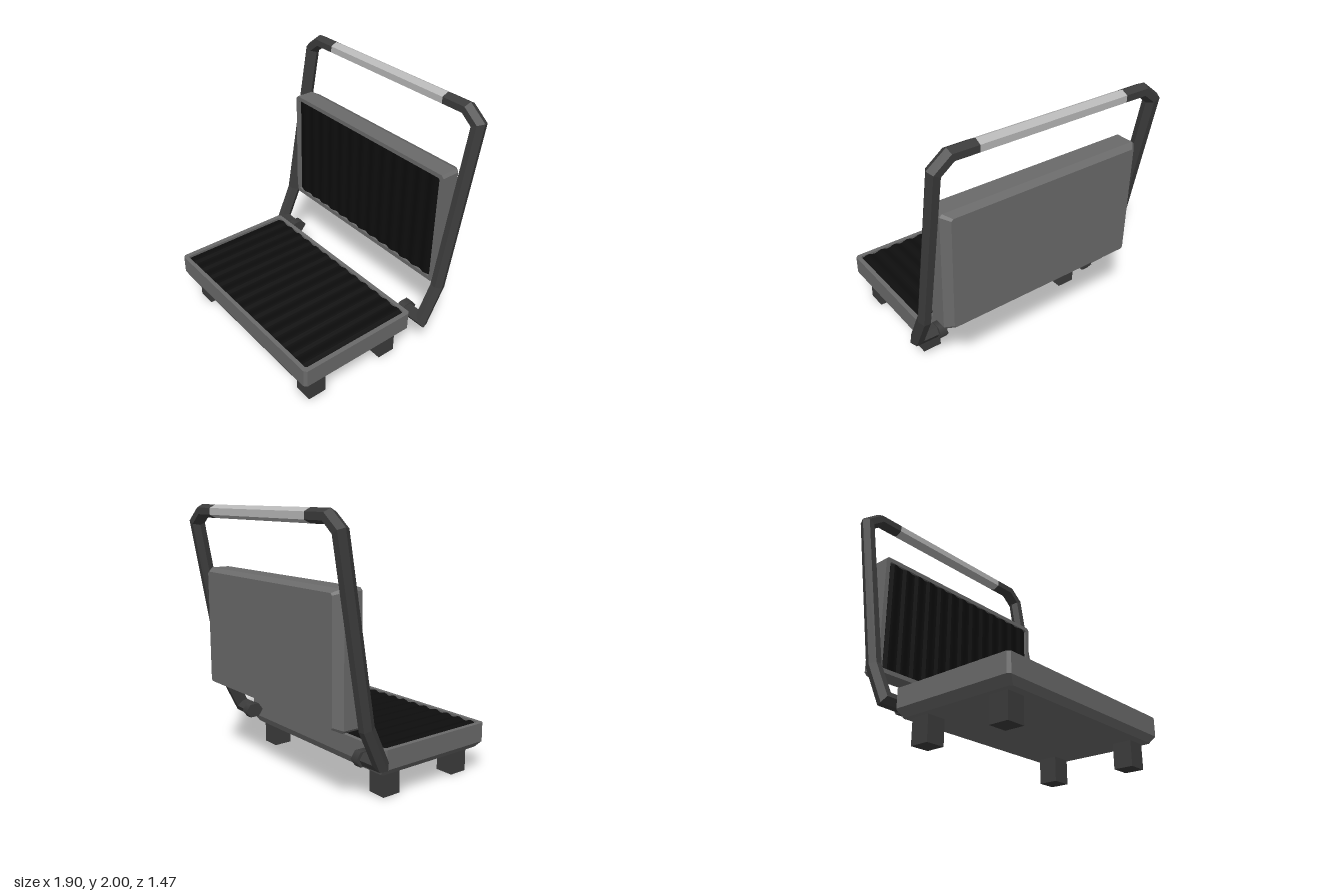
import * as THREE from 'three';

const mat = (name, color) => {
  const m = new THREE.MeshStandardMaterial({ color });
  m.name = name;
  return m;
};

// Flat-faced skin over a list of equal-length rings, closed at both ends.
function loft(rings) {
  const pos = [];
  const tri = (...p) => p.forEach((v) => pos.push(v.x, v.y, v.z));
  const n = rings[0].length;
  const mid = (r) => r.reduce((s, p) => s.add(p), new THREE.Vector3()).divideScalar(n);
  const first = rings[0], last = rings[rings.length - 1];
  for (let j = 0; j < n; j++) {
    const k = (j + 1) % n;
    for (let i = 0; i + 1 < rings.length; i++) {
      const a = rings[i], b = rings[i + 1];
      tri(a[j], b[j], b[k]);
      tri(a[j], b[k], a[k]);
    }
    tri(mid(first), first[j], first[k]);
    tri(mid(last), last[k], last[j]);
  }
  const g = new THREE.BufferGeometry();
  g.setAttribute('position', new THREE.Float32BufferAttribute(pos, 3));
  g.computeVertexNormals();
  return g;
}

// Horizontal rectangle (half sizes w, d) with clipped corners.
const rectRing = (w, d, c, y) =>
  [[w, c - d], [w, d - c], [w - c, d], [c - w, d], [-w, d - c], [-w, c - d], [c - w, -d], [w - c, -d]]
    .map(([x, z]) => new THREE.Vector3(x, y, z));

// Six-sided bar along a path starting in the x direction, with mitred bends.
function hexBar(points) {
  const path = points.map((p) => new THREE.Vector3(...p));
  const dirs = path.slice(1).map((p, i) => p.clone().sub(path[i]).normalize());
  const v = new THREE.Vector3(0, 1, 0).cross(dirs[0]);
  let ring = Array.from({ length: 6 }, (_, i) => {
    const a = (i * Math.PI) / 3;
    return path[0].clone().addScaledVector(v, 0.058 * Math.sin(a))
      .add(new THREE.Vector3(0, 0.05 * Math.cos(a), 0));
  });
  const rings = [ring];
  for (let i = 1; i < path.length; i++) {
    const d = dirs[i - 1];
    const normal = d.clone().add(dirs[i] || d).normalize();
    ring = ring.map((p) => {
      const t = path[i].clone().sub(p).dot(normal) / d.dot(normal);
      return p.clone().addScaledVector(d, t);
    });
    rings.push(ring);
  }
  return loft(rings);
}

export function createModel() {
  const model = new THREE.Group();
  const grey = mat('body grey', 0x6a6a6a);
  const dark = mat('dark plastic', 0x3c3c3c);
  const black = mat('plate black', 0x0d0d0d);
  const silver = mat('grip silver', 0xb8b8b8);
  const add = (parent, name, geometry, material, x = 0, y = 0, z = 0) => {
    const m = new THREE.Mesh(geometry, material);
    m.name = name;
    m.position.set(x, y, z);
    parent.add(m);
    return m;
  };

  // Shallow housing with a bevelled underside and a ribbed cooking plate
  function tray(name, d) {
    const g = new THREE.Group();
    g.name = name;
    const w = 0.841;
    add(g, name + 'Housing', loft([
      rectRing(w - 0.053, d - 0.026, 0.015, 0),
      rectRing(w, d, 0.02, 0.055),
      rectRing(w, d, 0.02, 0.2),
      rectRing(w - 0.037, d - 0.033, 0.01, 0.2),
      rectRing(w - 0.037, d - 0.033, 0.01, 0.17),
    ]), grey);

    const half = w - 0.038, ribs = 13, steps = ribs * 8, len = 2 * (d - 0.034);
    const shape = new THREE.Shape();
    shape.moveTo(-half, 0.171);
    shape.lineTo(half, 0.171);
    for (let i = steps; i >= 0; i--) {
      const t = i / steps;
      shape.lineTo(-half + 2 * half * t, 0.189 - 0.008 * Math.cos(t * ribs * 2 * Math.PI));
    }
    const plate = new THREE.ExtrudeGeometry(shape, { depth: len, bevelEnabled: false });
    plate.translate(0, 0, -len / 2);
    add(g, name + 'RibbedPlate', plate, black);
    model.add(g);
    return g;
  }
  tray('base', 0.5).position.set(-0.01, 0.19, 0.238);
  const lid = tray('lid', 0.465);
  lid.rotation.x = Math.PI / 2;
  lid.position.set(-0.01, 1.045, -0.67);

  // Feet
  for (const x of [-0.68, 0.68]) {
    for (const z of [-0.11, 0.572]) {
      add(model, 'foot', new THREE.BoxGeometry(0.15, 0.194, 0.15), dark, x, 0.097, z);
    }
  }

  // Handle: a grip between two bent arms that end in hinge blocks
  add(model, 'grip', hexBar([[-0.6, 1.95, -0.684], [0.6, 1.95, -0.684]]), silver);
  for (const s of [-1, 1]) {
    add(model, 'handleArm', hexBar([
      [s * 0.6, 1.95, -0.684],
      [s * 0.79, 1.95, -0.684],
      [s * 0.9, 1.865, -0.684],
      [s * 0.893, 0.595, -0.463],
      [s * 0.885, 0.325, -0.333],
      [s * 0.7, 0.32, -0.333],
    ]), dark);
    const hinge = new THREE.CylinderGeometry(0.078, 0.078, 0.062, 6);
    hinge.rotateZ(Math.PI / 2).scale(1, 0.8, 1);
    add(model, 'hinge', hinge, dark, s * 0.705, 0.318, -0.34);
  }
  return model;
}
